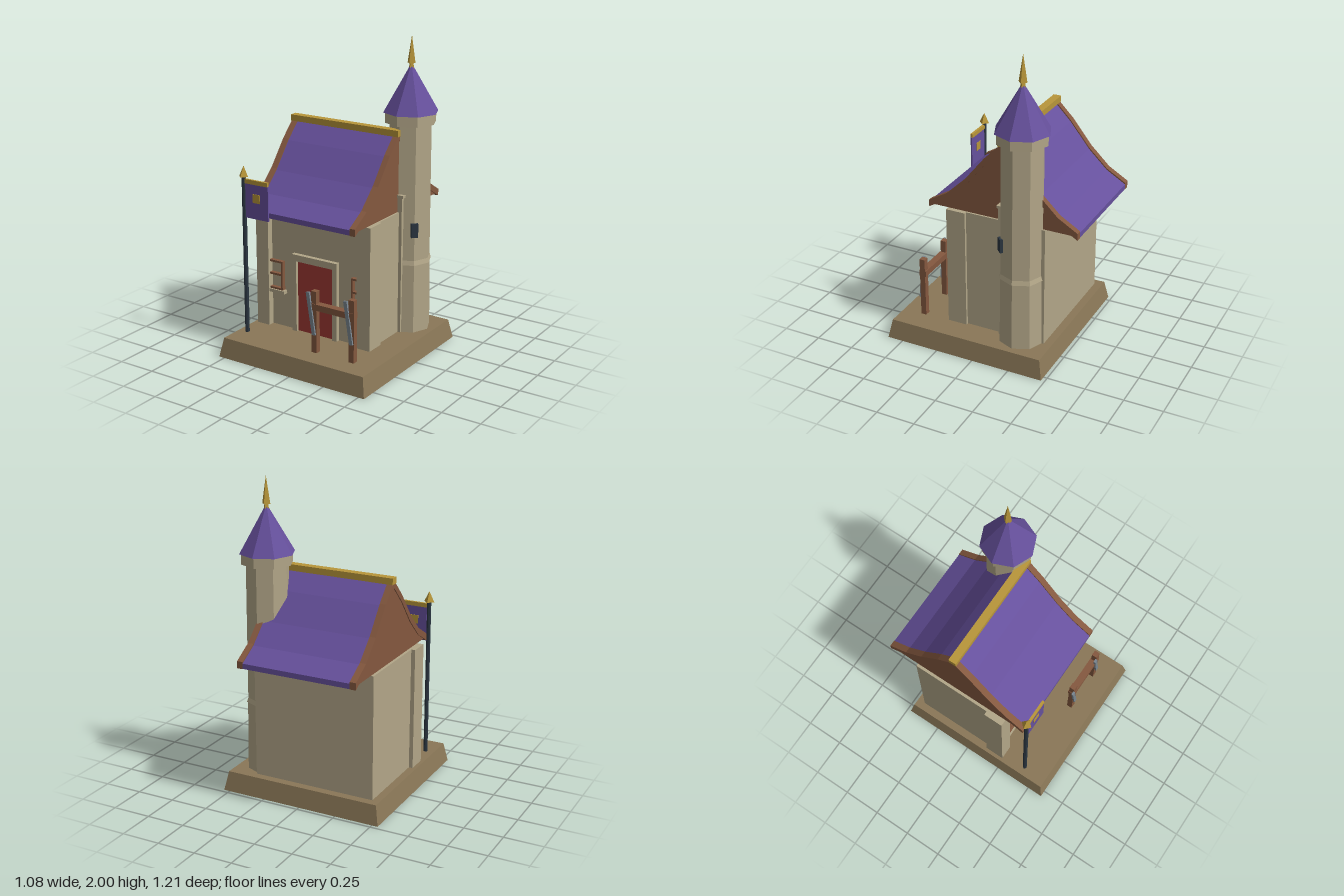
import * as THREE from 'three';

const mat = (name, color, opts = {}) => {
  const m = new THREE.MeshStandardMaterial({ color, flatShading: true, ...opts });
  m.name = name;
  return m;
};

export function createModel() {
  const stone = mat('stone', 0xb2a688);
  const earth = mat('earth', 0x8a7757);
  const purple = mat('purple', 0x66509c);
  const wood = mat('wood', 0x84583f);
  const gold = mat('gold', 0xb8963a);
  const red = mat('red', 0xa03934);
  const navy = mat('navy', 0x2a3540);
  const steel = mat('steel', 0x7a8690);

  const root = new THREE.Group();
  root.name = 'towerHouse';

  const add = (name, geo, material, x = 0, y = 0, z = 0, parent = root) => {
    const m = new THREE.Mesh(geo, material);
    m.name = name;
    m.position.set(x, y, z);
    parent.add(m);
    return m;
  };
  // Box given by its lower and upper limits on each axis
  const box = (name, material, x0, x1, y0, y1, z0, z1, parent = root) =>
    add(name, new THREE.BoxGeometry(x1 - x0, y1 - y0, z1 - z0), material,
      (x0 + x1) / 2, (y0 + y1) / 2, (z0 + z1) / 2, parent);
  // Upright prism or cone between two heights
  const prism = (name, material, rTop, rBottom, y0, y1, x, z, sides = 8, parent = root) =>
    add(name, new THREE.CylinderGeometry(rTop, rBottom, y1 - y0, sides), material,
      x, (y0 + y1) / 2, z, parent);

  // Ground slab with sloping sides
  const slab = new THREE.BoxGeometry(1.08, 0.125, 1.08);
  const p = slab.attributes.position;
  for (let i = 0; i < p.count; i++) {
    if (p.getY(i) > 0) p.setXYZ(i, p.getX(i) * 0.955, p.getY(i), p.getZ(i) * 0.955);
  }
  add('groundSlab', slab, earth, 0, 0.0625, 0.064);

  // Walls and front corner piers
  box('walls', stone, -0.467, 0.342, 0.12, 0.92, -0.4, 0.215);
  box('leftPier', stone, 0.265, 0.36, 0.12, 0.92, 0.13, 0.258);
  box('rightPier', stone, -0.493, -0.4, 0.12, 0.92, 0.13, 0.258);

  // Door with stone surround
  const door = new THREE.Group();
  door.name = 'door';
  root.add(door);
  box('doorPanel', red, -0.195, 0.075, 0.125, 0.597, 0.21, 0.225, door);
  box('doorJamb', stone, -0.227, -0.195, 0.125, 0.597, 0.21, 0.245, door);
  box('doorJamb', stone, 0.075, 0.108, 0.125, 0.597, 0.21, 0.245, door);
  box('doorLintel', stone, -0.227, 0.108, 0.597, 0.64, 0.21, 0.245, door);
  box('doorPlate', gold, -0.088, -0.034, 0.385, 0.413, 0.224, 0.232, door);

  // Windows: timber frame, middle rail and sill
  for (const [x0, x1] of [[-0.43, -0.303], [0.212, 0.339]]) {
    const win = new THREE.Group();
    win.name = 'window';
    root.add(win);
    for (const y of [0.376, 0.472, 0.557]) box('windowRail', wood, x0, x1, y, y + 0.013, 0.21, 0.242, win);
    for (const x of [x0, x1 - 0.012]) box('windowStile', wood, x, x + 0.012, 0.376, 0.57, 0.21, 0.242, win);
    box('windowSill', stone, x0 - 0.015, x1 + 0.015, 0.355, 0.376, 0.21, 0.252, win);
  }

  // Swept roof: half profile as distance from the ridge and height
  const ridgeZ = -0.108;
  const half = [[0, 1.42], [0.113, 1.305], [0.245, 1.14], [0.37, 1.02], [0.4975, 0.945]];
  const full = [...half.slice(1).reverse().map(([d, y]) => [-d, y]), ...half];
  const sweep = (name, material, points, x0, x1) => {
    const shape = new THREE.Shape(points.map(([d, y]) => new THREE.Vector2(d, y)));
    const geo = new THREE.ExtrudeGeometry(shape, { depth: x1 - x0, bevelEnabled: false });
    geo.rotateY(Math.PI / 2);
    return add(name, geo, material, x0, 0, ridgeZ);
  };
  const band = (top, bottom) => [
    ...full.map(([d, y]) => [d, y + top]),
    ...full.map(([d, y]) => [d, y + bottom]).reverse(),
  ];
  sweep('roof', purple, band(-0.01, -0.043), -0.416, 0.299);
  const gable = [[-0.47, 0.92], ...full.slice(1, -1).map(([d, y]) => [d, y - 0.03]), [0.47, 0.92]];
  for (const [x0, x1] of [[-0.455, -0.415], [0.298, 0.336]]) {
    sweep('vergeBoard', wood, band(0, -0.045), x0, x1);
    sweep('gable', wood, gable, x0 + 0.006, x1 - 0.006);
  }
  box('ridgeBeam', gold, -0.456, 0.337, 1.4, 1.44, -0.134, -0.083);

  // Eight-sided tower
  const tx = 0.33, tz = -0.245;
  prism('towerFoot', stone, 0.14, 0.146, 0.12, 0.58, tx, tz);
  prism('towerBand', stone, 0.137, 0.147, 0.575, 0.607, tx, tz);
  prism('towerShaft', stone, 0.134, 0.138, 0.6, 1.475, tx, tz);
  prism('towerCrown', stone, 0.162, 0.162, 1.465, 1.535, tx, tz);
  prism('towerRoof', purple, 0, 0.174, 1.53, 1.83, tx, tz);
  prism('spireNeck', gold, 0.012, 0.02, 1.79, 1.835, tx, tz, 4);
  prism('spire', gold, 0, 0.028, 1.83, 2, tx, tz, 4);
  const slit = box('towerSlit', navy, 0.405, 0.449, 0.76, 0.85, -0.157, -0.137);
  slit.rotation.y = Math.PI / 4;

  // Narrow buttress where house and tower meet
  box('buttress', stone, 0.325, 0.362, 0.12, 1.015, -0.13, -0.1);
  box('buttressCap', stone, 0.325, 0.373, 1.015, 1.032, -0.13, -0.094);

  // Banner on a pole
  const banner = new THREE.Group();
  banner.name = 'banner';
  root.add(banner);
  const bx = -0.457, bz = 0.416;
  prism('bannerPole', navy, 0.014, 0.014, 0.12, 1.155, bx, bz, 8, banner);
  prism('bannerFinial', gold, 0, 0.034, 1.15, 1.218, bx, bz, 4, banner);
  box('bannerRod', gold, bx, -0.274, 1.11, 1.137, bz - 0.008, bz + 0.008, banner);
  box('bannerCloth', purple, -0.444, -0.272, 0.89, 1.112, bz - 0.005, bz + 0.005, banner);
  box('bannerPatch', gold, -0.386, -0.332, 0.994, 1.05, bz - 0.008, bz + 0.008, banner);

  // Rack with two leaning blades
  const rack = new THREE.Group();
  rack.name = 'rack';
  root.add(rack);
  for (const x of [0.063, 0.333]) {
    box('rackPost', wood, x, x + 0.038, 0.12, 0.525, 0.417, 0.453, rack);
    const blade = box('blade', steel, x - 0.01, x + 0.014, 0.243, 0.517, 0.45, 0.464, rack);
    blade.rotation.z = 0.155;
  }
  box('rackRail', wood, 0.06, 0.37, 0.405, 0.445, 0.411, 0.457, rack);

  return root;
}
